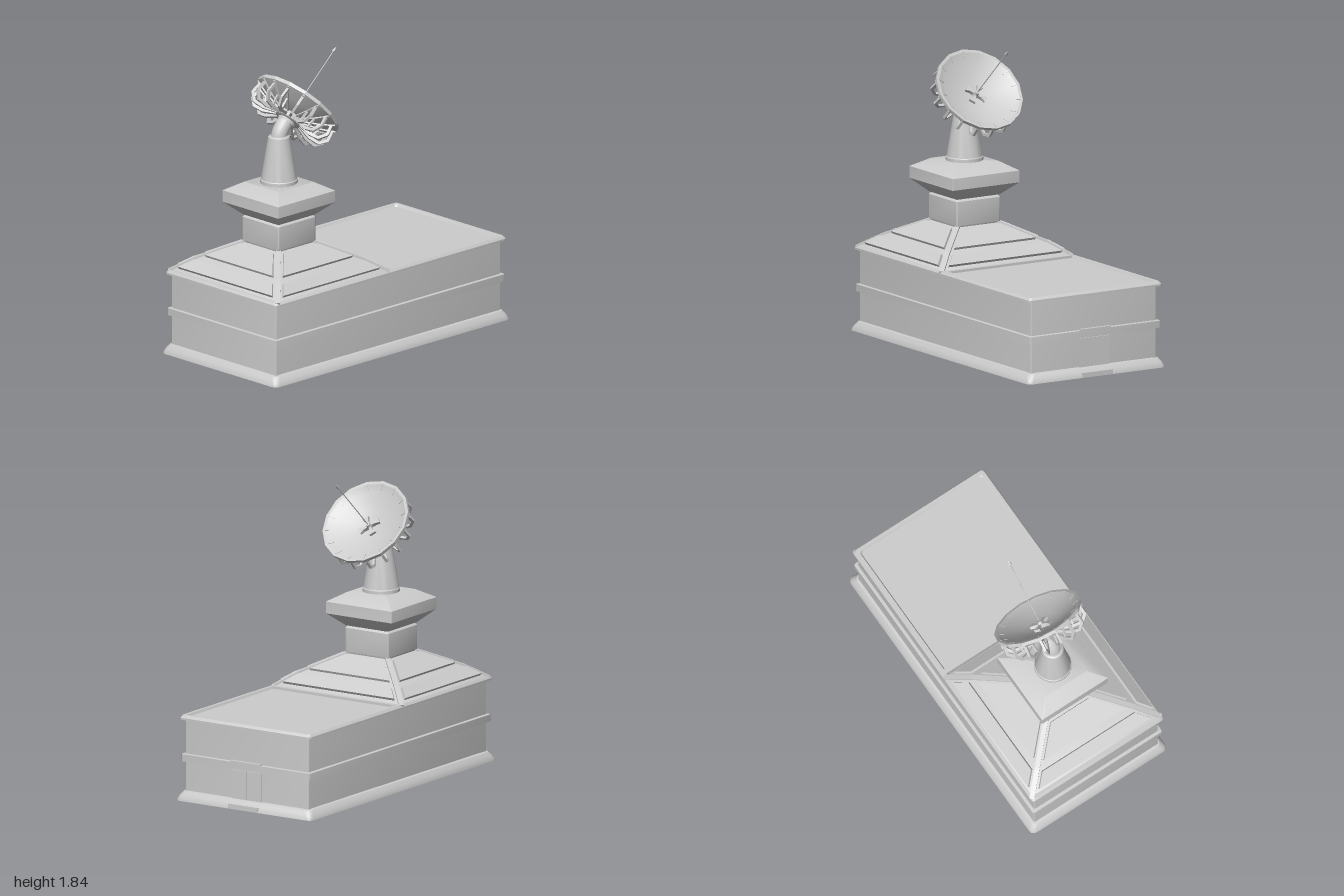
import * as THREE from 'three';
import { mergeGeometries, toCreasedNormals } from 'three/addons/utils/BufferGeometryUtils.js';

const mat = new THREE.MeshStandardMaterial({ color: 0xcccccc, side: THREE.DoubleSide });
const V = (x, y, z) => new THREE.Vector3(x, y, z);

function add(parent, name, geo, x = 0, y = 0, z = 0) {
  const m = new THREE.Mesh(geo, mat);
  m.name = name;
  m.position.set(x, y, z);
  parent.add(m);
  return m;
}
const box = (w, h, d, x, y, z) => new THREE.BoxGeometry(w, h, d).translate(x, y, z);

// Skin through rounded-rectangle rings [halfX, halfZ, y], bottom to top
function loft(rings, r = 0.01, cap = false) {
  const pos = [], idx = [], k = 3, n = 4 * (k + 1);
  for (const [hx, hz, y] of rings) {
    for (let c = 0; c < 4; c++) for (let s = 0; s <= k; s++) {
      const a = (c + s / k) * Math.PI / 2;
      const sx = c === 0 || c === 3 ? 1 : -1, sz = c < 2 ? 1 : -1;
      pos.push(sx * (hx - r) + r * Math.cos(a), y, sz * (hz - r) + r * Math.sin(a));
    }
  }
  for (let i = 0; i < rings.length - 1; i++) for (let j = 0; j < n; j++) {
    const a = i * n + j, b = i * n + (j + 1) % n;
    idx.push(a, a + n, b, b, a + n, b + n);
  }
  const top = (rings.length - 1) * n;
  if (cap) for (let j = 1; j < n - 1; j++) idx.push(top, top + j + 1, top + j);
  const g = new THREE.BufferGeometry();
  g.setAttribute('position', new THREE.Float32BufferAttribute(pos, 3));
  g.setIndex(idx);
  return toCreasedNormals(g, 0.6);
}

// Square bars along a path
function bars(pts, w, h = w) {
  const out = [];
  for (let i = 0; i < pts.length - 1; i++) {
    const a = pts[i], b = pts[i + 1], o = new THREE.Object3D();
    o.position.copy(a).add(b).multiplyScalar(0.5);
    o.lookAt(b);
    o.updateMatrix();
    out.push(new THREE.BoxGeometry(w, h, a.distanceTo(b) + w * 0.4).applyMatrix4(o.matrix));
  }
  return mergeGeometries(out);
}

// Repeats a geometry around the y axis
const around = (geo, n, start = 0) => mergeGeometries(
  Array.from({ length: n }, (_, i) => geo.clone().rotateY(start + i * 2 * Math.PI / n)));

const lathe = (pts, seg, crease) => toCreasedNormals(
  new THREE.LatheGeometry(pts.map(p => new THREE.Vector2(...p)), seg), crease);

// Raised trapezoid slab on the +z roof slope between two [radius, y] points
function roofPanel(lo, hi, margin, t) {
  const d = Math.hypot(lo[0] - hi[0], hi[1] - lo[1]);
  const ny = (lo[0] - hi[0]) / d, nz = (hi[1] - lo[1]) / d;
  const s = new THREE.Shape([
    [-(lo[0] - margin), 0], [lo[0] - margin, 0], [hi[0] - margin, d], [-(hi[0] - margin), d],
  ].map(p => new THREE.Vector2(...p)));
  const g = new THREE.ExtrudeGeometry(s, { depth: t, bevelEnabled: false });
  const m = new THREE.Matrix4().makeBasis(V(1, 0, 0), V(0, nz, -ny), V(0, ny, nz));
  return g.applyMatrix4(m).translate(0, lo[1], lo[0]);
}

function buildDish() {
  const dish = new THREE.Group();
  dish.name = 'dish';
  add(dish, 'reflector', lathe([[0, -0.09], [0.08, -0.09], [0.2, -0.052], [0.287, -0.014], [0.287, 0.008],
    [0.268, 0.006], [0.23, -0.015], [0.12, -0.05], [0, -0.072]], 16, 0.35));

  // Raised seams in the outer band
  add(dish, 'rimSeams', around(bars([V(0, -0.014, 0.232), V(0, 0.006, 0.27)], 0.006), 16));

  // Bent support brackets behind the reflector
  const path = [[0.07, -0.11], [0.17, -0.14], [0.235, -0.138], [0.272, -0.095], [0.262, -0.022]];
  add(dish, 'brackets', around(bars(path.map(([r, a]) => V(0, a, r)), 0.015, 0.018), 16));
  add(dish, 'bracketStruts', around(bars([V(0, -0.14, 0.175), V(0, -0.055, 0.19)], 0.012), 16));
  add(dish, 'backRibs', around(bars([V(0, -0.094, 0.08), V(0, -0.056, 0.2), V(0, -0.02, 0.28)], 0.012), 16));
  add(dish, 'hub', lathe([[0, -0.15], [0.055, -0.15], [0.062, -0.13], [0.082, -0.125],
    [0.088, -0.105], [0.082, -0.085], [0, -0.085]], 24, 0.5));

  // Four flared feet and the feed rod
  const foot = new THREE.Shape([[-0.007, 0], [0.007, 0], [0.009, 0.04], [0.021, 0.068], [-0.021, 0.068],
    [-0.009, 0.04]].map(p => new THREE.Vector2(...p)));
  const footGeo = new THREE.ExtrudeGeometry(foot, { depth: 0.025, bevelEnabled: false })
    .rotateX(Math.PI / 2).translate(0, -0.042, 0);
  add(dish, 'feedFeet', around(footGeo, 4, Math.PI / 4));
  add(dish, 'feedBase', new THREE.CylinderGeometry(0.014, 0.02, 0.04, 12), 0, -0.045, 0);
  add(dish, 'feedRod', new THREE.CylinderGeometry(0.003, 0.003, 0.47, 8), 0, 0.165, 0);
  add(dish, 'feedTip', lathe([[0, 0.392], [0.009, 0.4], [0.009, 0.41], [0, 0.438]], 8, 0.5));

  dish.position.set(0, 1.55, 0.32);
  dish.rotation.x = -0.834;
  return dish;
}

export function createModel() {
  const g = new THREE.Group();
  g.name = 'dishBuilding';

  // Hollow main building, open underneath
  add(g, 'walls', loft([[0.455, 0.955, 0.02], [0.455, 0.955, 0.51]], 0.008));
  add(g, 'skirt', loft([[0.5, 1, 0], [0.497, 0.997, 0.015], [0.487, 0.987, 0.035], [0.472, 0.972, 0.056],
    [0.455, 0.955, 0.06]], 0.035));
  add(g, 'band', loft([[0.455, 0.955, 0.24], [0.474, 0.974, 0.243], [0.474, 0.974, 0.287],
    [0.455, 0.955, 0.29]], 0.012));
  add(g, 'cornice', loft([[0.455, 0.955, 0.502], [0.482, 0.982, 0.503], [0.482, 0.982, 0.515],
    [0.47, 0.97, 0.531], [0.45, 0.95, 0.531], [0.44, 0.94, 0.514]], 0.018));
  add(g, 'flatRoof', box(0.9, 0.006, 0.94, 0, 0.514, -0.48));
  add(g, 'parapetCrossbar', box(0.9, 0.028, 0.03, 0, 0.518, -0.015));

  // Rear door with sill and lintel
  add(g, 'rearDoors', mergeGeometries([-1, 1].map(s => box(0.106, 0.235, 0.012, s * 0.055, 0.12, -0.956))));
  add(g, 'doorSill', box(0.22, 0.03, 0.04, 0, 0.015, -0.98));
  add(g, 'doorLintel', box(0.22, 0.012, 0.03, 0, 0.29, -0.962));

  // Two-pitch hipped roof with raised panels and hip bars
  const roof = new THREE.Group();
  roof.name = 'hippedRoof';
  roof.position.z = 0.485;
  g.add(roof);
  const eave = [0.475, 0.525], knee = [0.36, 0.605], crown = [0.15, 0.712];
  add(roof, 'roofShell', loft([eave, knee, crown].map(([r, y]) => [r, r, y]), 0.004));
  const on = (a, b, r) => [r, a[1] + (b[1] - a[1]) * (a[0] - r) / (a[0] - b[0])];
  add(roof, 'lowerPanels', around(roofPanel(on(eave, knee, 0.45), on(eave, knee, 0.38), 0.04, 0.018), 4));
  add(roof, 'upperPanels', around(roofPanel(on(knee, crown, 0.335), on(knee, crown, 0.18), 0.04, 0.016), 4));
  add(roof, 'hipBars', around(bars([eave, knee, crown].map(([r, y]) => V(r - 0.004, y, r - 0.004)), 0.03, 0.016), 4));

  // Square tower and flared platform
  const tower = new THREE.Group();
  tower.name = 'tower';
  tower.position.z = 0.485;
  g.add(tower);
  add(tower, 'towerBlock', loft([[0.15, 0.15, 0.7], [0.16, 0.16, 0.72], [0.16, 0.16, 0.868],
    [0.15, 0.15, 0.88], [0.14, 0.14, 0.885]], 0.012, true));
  add(tower, 'platform', loft([[0.1, 0.1, 0.882], [0.155, 0.155, 0.882], [0.243, 0.243, 0.962], [0.243, 0.243, 1.035],
    [0.15, 0.15, 1.09]], 0.004, true));
  add(tower, 'pedestal', lathe([[0.115, 1.085], [0.115, 1.11], [0.11, 1.115], [0.068, 1.365],
    [0.066, 1.378], [0.055, 1.386], [0, 1.386]], 24, 0.4));

  // Bent neck carrying the dish
  const bend = new THREE.QuadraticBezierCurve3(V(0, 1.37, 0.485), V(0, 1.43, 0.48), V(0, 1.48, 0.4));
  add(g, 'neck', new THREE.TubeGeometry(bend, 10, 0.05, 20));
  g.add(buildDish());
  return g;
}
